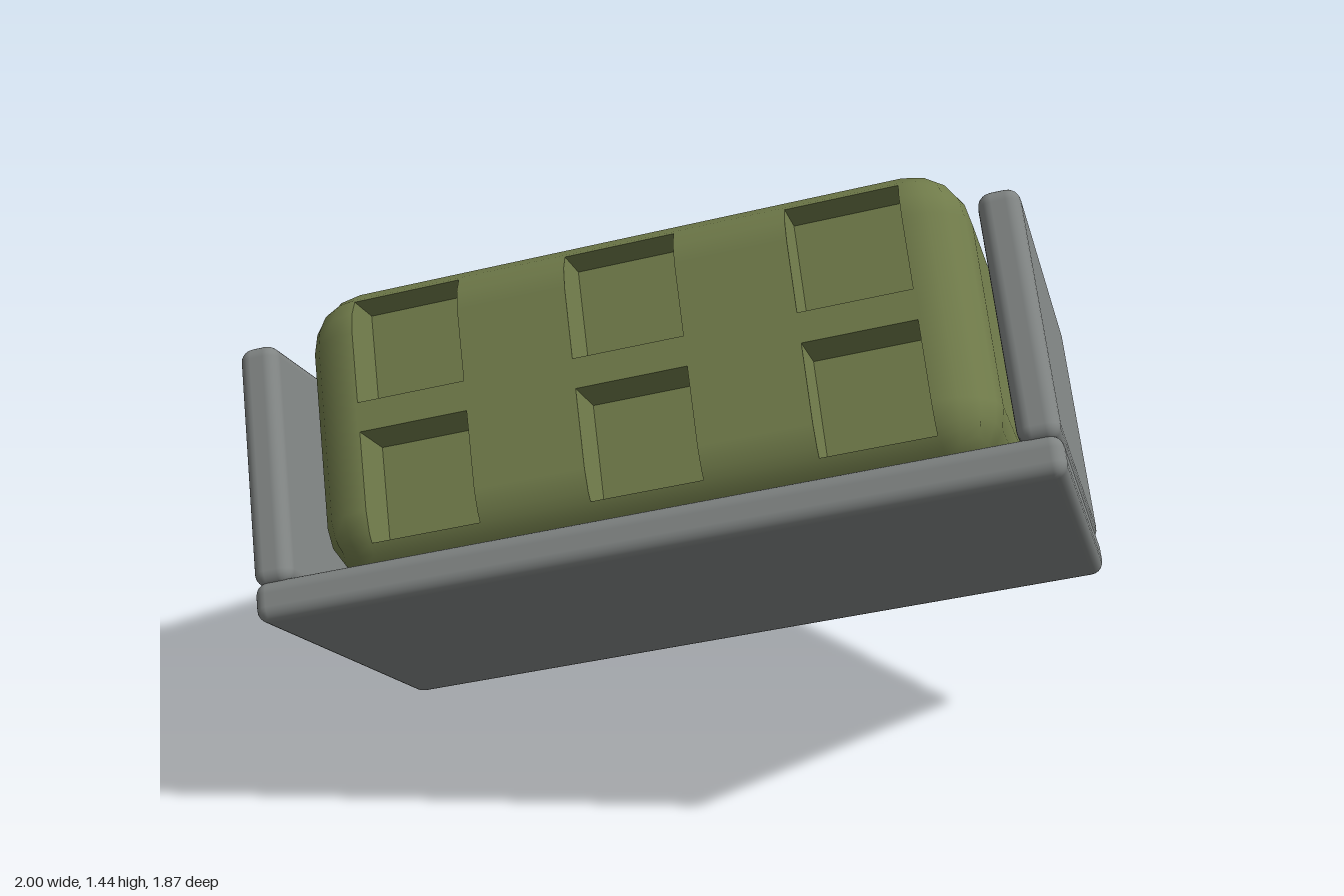
import * as THREE from 'three';
import { RoundedBoxGeometry } from 'three/addons/geometries/RoundedBoxGeometry.js';

const V = (x, y, z) => new THREE.Vector3(x, y, z);

// overall tray: length, height, depth, plate thickness
const L = 1.755, H = 0.63, D = 0.96, T = 0.09;
// cushion: half sizes and edge radius
const HALF = [0.76, 0.3375, 0.42], R = 0.13;
// square pockets on the cushion's front
const POCKET_X = [-0.5, 0, 0.5], POCKET_Y = [-0.152, 0.167], POCKET_HALF = 0.125, POCKET_DEPTH = 0.13;

const nearPocket = (list, c) => list.some(p => Math.abs(c - p) < POCKET_HALF);

// grid lines across one side, denser along the rounded borders
function gridLines(half, extra) {
  const lines = [...extra];
  for (const angle of [0, Math.PI / 8, Math.PI / 4]) {
    const c = half - R + R * Math.sin(angle);
    lines.push(c, -c);
  }
  return lines.sort((p, q) => p - q);
}

// tangent of the rounding angle at coordinate c
function bend(c, half) {
  const over = Math.max(0, Math.abs(c) - (half - R));
  return Math.sign(c) * Math.tan(Math.asin(Math.min(over / R, 1)));
}

function cushionGeometry() {
  const pos = [], nor = [];
  const quad = (pts, normals) => {
    for (const i of [0, 1, 2, 0, 2, 3]) {
      pos.push(...pts[i].toArray());
      nor.push(...normals[i].toArray());
    }
  };
  const flatQuad = (pts) => {
    const n = pts[1].clone().sub(pts[0]).cross(pts[2].clone().sub(pts[0])).normalize();
    quad(pts, [n, n, n, n]);
  };

  for (let axis = 0; axis < 3; axis++) for (const sign of [1, -1]) {
    // side frame: a x b points outwards
    let ia = (axis + 1) % 3, ib = (axis + 2) % 3;
    if (sign < 0) [ia, ib] = [ib, ia];
    const front = axis === 2 && sign > 0;
    const edges = list => front ? list.flatMap(p => [p - POCKET_HALF, p + POCKET_HALF]) : [];
    const A = gridLines(HALF[ia], edges(POCKET_X)), B = gridLines(HALF[ib], edges(POCKET_Y));

    const point = (a, b) => {
      const n = V(0, 0, 0), p = V(0, 0, 0);
      n.setComponent(axis, sign);
      n.setComponent(ia, bend(a, HALF[ia]));
      n.setComponent(ib, bend(b, HALF[ib]));
      n.normalize();
      p.setComponent(axis, sign * (HALF[axis] - R));
      p.setComponent(ia, THREE.MathUtils.clamp(a, R - HALF[ia], HALF[ia] - R));
      p.setComponent(ib, THREE.MathUtils.clamp(b, R - HALF[ib], HALF[ib] - R));
      return { p: p.addScaledVector(n, R), n };
    };
    const inPocket = (i, j) => front &&
      nearPocket(POCKET_X, (A[i] + A[i + 1]) / 2) && nearPocket(POCKET_Y, (B[j] + B[j + 1]) / 2);

    for (let i = 0; i < A.length - 1; i++) for (let j = 0; j < B.length - 1; j++) {
      const c = [[i, j], [i + 1, j], [i + 1, j + 1], [i, j + 1]].map(([s, t]) => point(A[s], B[t]));
      if (!inPocket(i, j)) {
        quad(c.map(q => q.p), c.map(q => q.n));
        continue;
      }
      // pocket floor, and walls where the neighbouring cell is solid
      const floor = c.map(q => V(q.p.x, q.p.y, HALF[2] - POCKET_DEPTH));
      flatQuad(floor);
      [[i, j - 1], [i + 1, j], [i, j + 1], [i - 1, j]].forEach(([s, t], k) => {
        const m = (k + 1) % 4;
        if (!inPocket(s, t)) flatQuad([c[k].p, c[m].p, floor[m], floor[k]]);
      });
    }
  }
  const g = new THREE.BufferGeometry();
  g.setAttribute('position', new THREE.Float32BufferAttribute(pos, 3));
  g.setAttribute('normal', new THREE.Float32BufferAttribute(nor, 3));
  return g;
}

export function createModel() {
  const gray = new THREE.MeshStandardMaterial({ color: 0x808483 });
  gray.name = 'plate gray';
  const olive = new THREE.MeshStandardMaterial({ color: 0x707b4a });
  olive.name = 'cushion olive';

  const body = new THREE.Group();
  body.name = 'tiltedBody';
  const add = (name, geometry, material, x, y, z) => {
    const mesh = new THREE.Mesh(geometry, material);
    mesh.name = name;
    mesh.position.set(x, y, z);
    body.add(mesh);
  };

  // base plate with an upright plate at each end
  add('basePlate', new RoundedBoxGeometry(L, T, D, 3, 0.03), gray, 0, (T - H) / 2, 0);
  for (const [name, s] of [['leftEndPlate', 1], ['rightEndPlate', -1]]) {
    add(name, new RoundedBoxGeometry(T, H - T + 0.01, D, 3, 0.03), gray, s * (L - T) / 2, T / 2 - 0.005, 0);
  }

  // rounded block with six square pockets
  add('cushion', cushionGeometry(), olive, 0, 0.1125, 0);

  // tilt the whole body onto one corner
  const x = V(0.804, 0.247, -0.541).normalize();
  const y = V(0.329, 0.573, 0.751).cross(x).normalize();
  const z = x.clone().cross(y);
  body.quaternion.setFromRotationMatrix(new THREE.Matrix4().makeBasis(x, y, z));
  body.position.y = 0.72;

  const model = new THREE.Group();
  model.name = 'paddedTray';
  model.add(body);
  return model;
}
